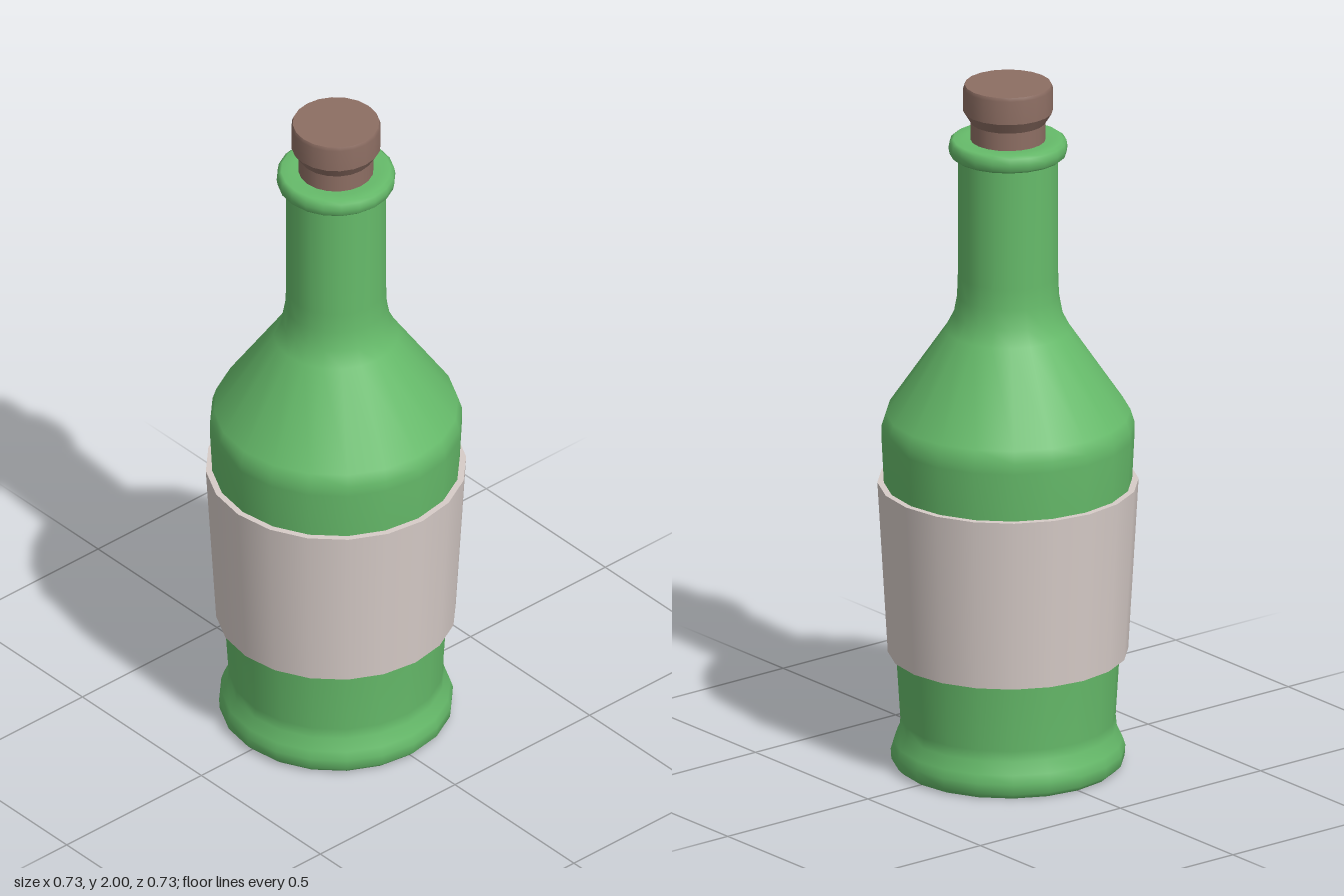
import * as THREE from 'three';
import { mergeGeometries } from 'three/addons/utils/BufferGeometryUtils.js';

const SIDES = 20;

// Each profile is turned on its own, so edges between profiles stay sharp.
function turned(name, material, profiles) {
  const parts = profiles.map((points) =>
    new THREE.LatheGeometry(points.map(([r, y]) => new THREE.Vector2(r, y)), SIDES));
  const mesh = new THREE.Mesh(mergeGeometries(parts), material);
  mesh.name = name;
  return mesh;
}

export function createModel() {
  const glass = new THREE.MeshStandardMaterial({ color: 0x66bb6a });
  glass.name = 'green glass';
  const paper = new THREE.MeshStandardMaterial({ color: 0xd7ccc8 });
  paper.name = 'label paper';
  const corkBrown = new THREE.MeshStandardMaterial({ color: 0x8d6e63 });
  corkBrown.name = 'cork brown';

  const group = new THREE.Group();
  group.name = 'bottle';

  // Flat base, flared foot, tapering body, sloped shoulder and neck
  group.add(turned('bottleBody', glass, [
    [[0, 0], [0.31, 0]],
    [[0.31, 0], [0.325, 0.015], [0.327, 0.045], [0.319, 0.07], [0.303, 0.105], [0.3, 0.135],
      [0.312, 0.33], [0.346, 0.83], [0.353, 0.97], [0.352, 1.0], [0.341, 1.035],
      [0.175, 1.28], [0.152, 1.325], [0.142, 1.38], [0.14, 1.44], [0.14, 1.8]],
  ]));

  // Rounded lip around the mouth
  group.add(turned('lip', glass, [
    [[0.138, 1.79], [0.155, 1.79], [0.163, 1.797], [0.166, 1.815], [0.163, 1.833],
      [0.153, 1.84], [0.125, 1.84], [0.1, 1.838]],
  ]));

  // Label sleeve with a visible thickness
  group.add(turned('label', paper, [
    [[0.312, 0.33], [0.335, 0.33]],
    [[0.335, 0.33], [0.364, 0.83]],
    [[0.364, 0.83], [0.345, 0.83]],
  ]));

  // Cork stopper with a wider head
  group.add(turned('cork', corkBrown, [
    [[0.105, 1.8], [0.105, 1.89]],
    [[0.105, 1.89], [0.125, 1.922]],
    [[0.125, 1.922], [0.125, 1.99], [0.121, 2]],
    [[0.121, 2], [0, 2]],
  ]));

  return group;
}
